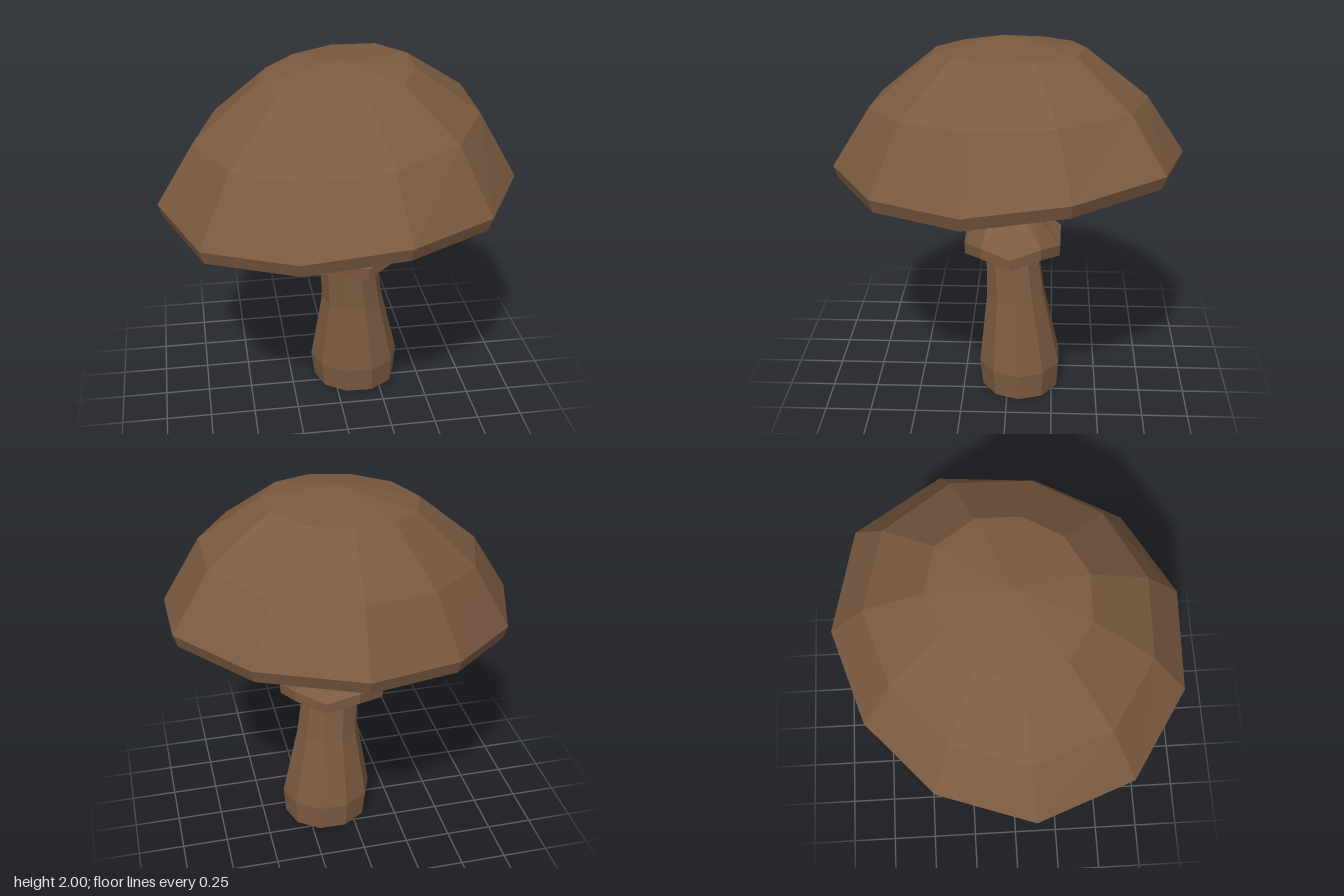
import * as THREE from 'three';

const brown = new THREE.MeshStandardMaterial({ color: 0x7c5b41, flatShading: true });
brown.name = 'mushroom brown';

// Skin closed rings of [x, y, z] points, listed from bottom to top.
// A ring holding a single point closes the end as a fan.
function loft(name, rings) {
  const n = Math.max(...rings.map((r) => r.length));
  const at = (r, i) => rings[r][i % rings[r].length];
  const pos = [];
  for (let r = 0; r < rings.length - 1; r++) {
    for (let i = 0; i < n; i++) {
      const a = at(r, i), b = at(r, i + 1), c = at(r + 1, i), d = at(r + 1, i + 1);
      if (a !== b) pos.push(...a, ...c, ...b);
      if (c !== d) pos.push(...b, ...c, ...d);
    }
  }
  const geo = new THREE.BufferGeometry();
  geo.setAttribute('position', new THREE.Float32BufferAttribute(pos, 3));
  geo.computeVertexNormals();
  const mesh = new THREE.Mesh(geo, brown);
  mesh.name = name;
  return mesh;
}

// Ten-sided ring; wave lifts every other corner
function ring(cx, y, cz, rx, rz, wave = 0) {
  return Array.from({ length: 10 }, (_, i) => {
    const a = 0.02 + (i * Math.PI) / 5;
    return [cx + rx * Math.cos(a), y + (i % 2 ? wave : -wave), cz + rz * Math.sin(a)];
  });
}

// Uneven, tilted cap edge: x, y, z of its eleven corners
const rim = [
  [0.95, 1.36, 0.2], [0.7, 1.345, 0.66], [0.24, 1.345, 0.92], [-0.3, 1.295, 0.91],
  [-0.76, 1.245, 0.61], [-0.96, 1.27, 0.09], [-0.79, 1.3, -0.42], [-0.41, 1.35, -0.77],
  [0.09, 1.4, -0.93], [0.63, 1.46, -0.79], [0.95, 1.435, -0.33],
];

// Smaller copy of the rim lying on a sloping plane
function slopedRim(scale, y, sx, sz) {
  return rim.map(([x, , z]) => {
    const px = x * scale, pz = z * scale;
    return [px, y + sx * px + sz * pz, pz];
  });
}

export function createModel() {
  const model = new THREE.Group();
  model.name = 'mushroom';

  // Cap: underside, bevelled lip, dome
  model.add(loft('cap', [
    [[0.03, 1.22, 0.01]],
    slopedRim(0.6, 1.185, 0.055, -0.05),
    rim.map(([x, y, z]) => [x * 0.975, y - 0.072, z * 0.975]),
    rim,
    slopedRim(0.785, 1.665, 0.08, -0.035),
    slopedRim(0.435, 1.925, 0.08, -0.04),
    [[0.01, 2, 0.03]],
  ]));

  // Leaning stem with a swollen foot
  model.add(loft('stem', [
    [[0.13, 0, -0.07]],
    ring(0.13, 0, -0.07, 0.24, 0.222),
    ring(0.125, 0.15, -0.067, 0.255, 0.235),
    ring(0.107, 0.55, -0.042, 0.176, 0.167),
    ring(0.077, 0.86, -0.018, 0.157, 0.145),
    ring(0.045, 1.04, 0.005, 0.153, 0.142),
    ring(0.035, 1.24, 0.012, 0.165, 0.15),
    [[0.035, 1.24, 0.012]],
  ]));

  // Flared skirt with a wavy hem
  model.add(loft('skirt', [
    ring(0.075, 0.9, -0.016, 0.15, 0.14),
    ring(0.066, 0.825, -0.025, 0.303, 0.275, 0.02),
    ring(0.066, 0.888, -0.025, 0.306, 0.278, 0.02),
    ring(0.045, 1.04, 0.005, 0.16, 0.148),
    [[0.045, 1.04, 0.005]],
  ]));

  return model;
}
